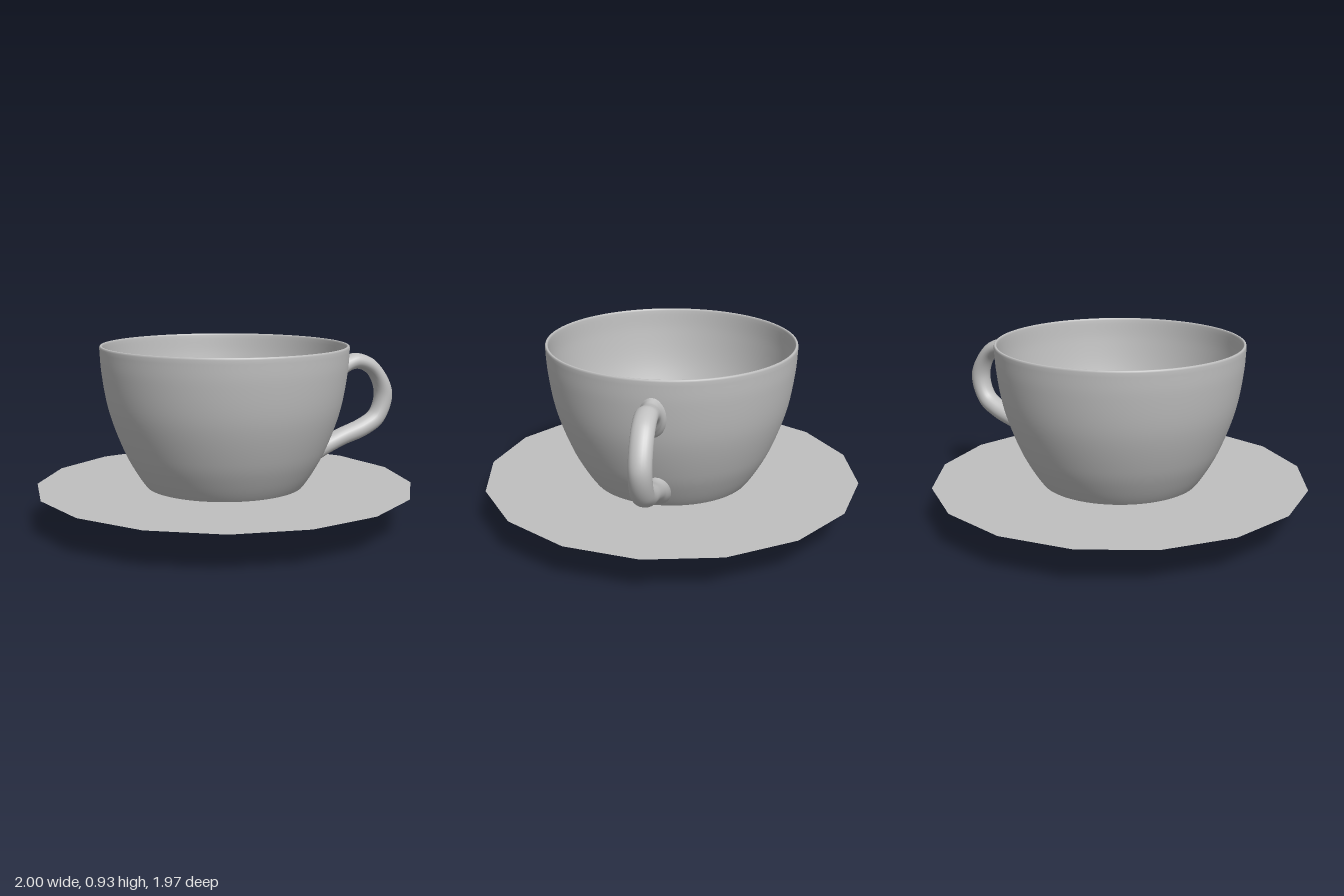
import * as THREE from 'three';

const CENTER_X = -0.013; // cup and saucer axis; the handle reaches further to +x

const grey = new THREE.MeshStandardMaterial({ color: 0xc0c0c0 });
grey.name = 'grey ceramic';
const greySheet = new THREE.MeshStandardMaterial({ color: 0xc0c0c0, side: THREE.DoubleSide });
greySheet.name = 'grey saucer';

// Smooth curve through [x, y] points
const curve = (pts) =>
  new THREE.CatmullRomCurve3(pts.map(([x, y]) => new THREE.Vector3(x, y, 0)));

const sample = (pts, n) =>
  curve(pts).getPoints(n).map((p) => new THREE.Vector2(p.x, p.y));

// Bowl: closed base, outer wall, thin rounded rim, inner wall and floor
function buildCup() {
  const outer = sample([
    [0.235, 0.012], [0.325, 0.1], [0.417, 0.2], [0.482, 0.3], [0.532, 0.4],
    [0.602, 0.6], [0.636, 0.8], [0.644, 0.92],
  ], 40);
  const inner = sample([
    [0.628, 0.92], [0.619, 0.8], [0.585, 0.6], [0.514, 0.4], [0.463, 0.3],
    [0.398, 0.2], [0.305, 0.1], [0.22, 0.035],
  ], 40);
  const v = (x, y) => new THREE.Vector2(x, y);
  const profile = [
    v(0, 0), v(0.205, 0), v(0.213, 0.001), v(0.225, 0.005),
    ...outer,
    v(0.642, 0.928), v(0.639, 0.93), v(0.633, 0.93), v(0.63, 0.928),
    ...inner,
    v(0.2, 0.028), v(0, 0.028),
  ];
  const cup = new THREE.Mesh(new THREE.LatheGeometry(profile, 96), grey);
  cup.name = 'cup';
  cup.position.x = CENTER_X;
  return cup;
}

// Handle: oval rings spanned between an outer and an inner edge line,
// flared where they meet the wall
function buildHandle() {
  const outerEdge = curve([
    [0.62, 0.845], [0.64, 0.84], [0.675, 0.835], [0.715, 0.842], [0.775, 0.852],
    [0.89, 0.805], [1.0, 0.626], [0.945, 0.46], [0.84, 0.39], [0.7, 0.345],
    [0.58, 0.295], [0.49, 0.245], [0.402, 0.205],
  ]);
  const innerEdge = curve([
    [0.592, 0.635], [0.625, 0.645], [0.66, 0.685], [0.695, 0.735], [0.775, 0.765],
    [0.86, 0.725], [0.9, 0.626], [0.875, 0.53], [0.81, 0.487], [0.68, 0.44],
    [0.58, 0.402], [0.54, 0.396], [0.508, 0.398],
  ]);
  const rings = 96, sides = 24;
  const positions = [], index = [];
  for (let k = 0; k <= rings; k++) {
    const t = k / rings;
    const o = outerEdge.getPoint(t), i = innerEdge.getPoint(t);
    const mid = o.clone().add(i).multiplyScalar(0.5);
    const half = o.clone().sub(i).multiplyScalar(0.5);
    const flare = Math.max(0, 1 - Math.min(t, 1 - t) / 0.16);
    const width = 0.055 + 0.015 * flare * flare;
    for (let j = 0; j < sides; j++) {
      const a = (j / sides) * Math.PI * 2;
      positions.push(
        mid.x + half.x * Math.cos(a), mid.y + half.y * Math.cos(a), width * Math.sin(a));
      if (k === rings) continue;
      const p = k * sides + j, q = k * sides + ((j + 1) % sides);
      index.push(p, q, p + sides, q, q + sides, p + sides);
    }
  }
  const geometry = new THREE.BufferGeometry();
  geometry.setAttribute('position', new THREE.Float32BufferAttribute(positions, 3));
  geometry.setIndex(index);
  geometry.computeVertexNormals();
  const handle = new THREE.Mesh(geometry, grey);
  handle.name = 'handle';
  return handle;
}

// Saucer: flat sixteen-sided sheet crossing the lower part of the cup
function buildSaucer() {
  const geometry = new THREE.CircleGeometry(0.987, 16).rotateX(-Math.PI / 2);
  const saucer = new THREE.Mesh(geometry, greySheet);
  saucer.name = 'saucer';
  saucer.position.set(CENTER_X, 0.195, 0);
  return saucer;
}

export function createModel() {
  const model = new THREE.Group();
  model.name = 'cup and saucer';
  model.add(buildCup(), buildHandle(), buildSaucer());
  return model;
}
